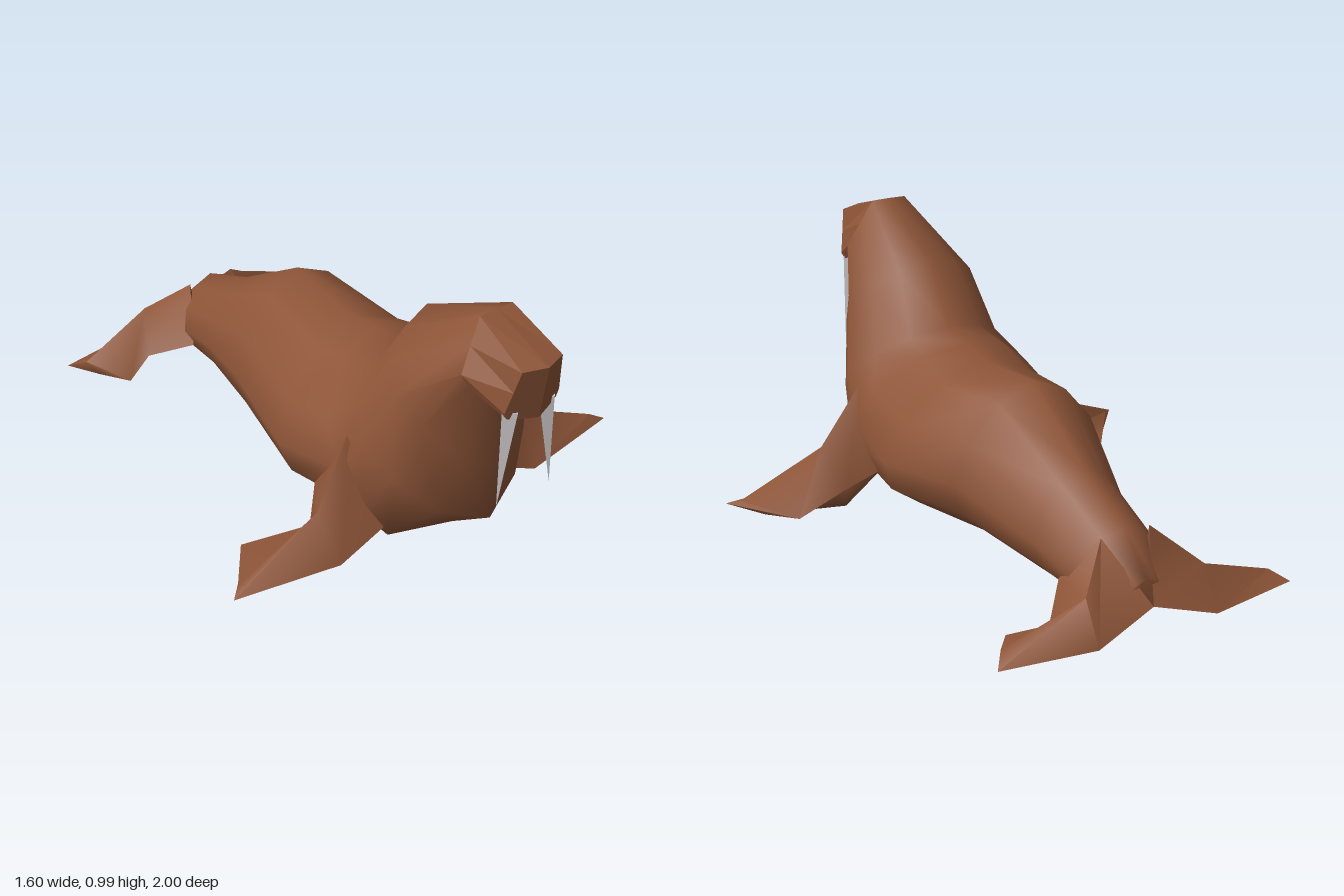
import * as THREE from 'three';
import { toCreasedNormals } from 'three/addons/utils/BufferGeometryUtils.js';

// Skin a list of equal-length rings of [x, y, z], capping both ends
function loft(rings, crease) {
  const n = rings[0].length, last = (rings.length - 1) * n, index = [];
  for (let i = 0; i < rings.length - 1; i++) {
    for (let j = 0; j < n; j++) {
      const a = i * n + j, b = i * n + (j + 1) % n;
      index.push(a, b, a + n, b, b + n, a + n);
    }
  }
  for (let j = 1; j < n - 1; j++) {
    index.push(0, j + 1, j, last, last + j, last + j + 1);
  }
  const geo = new THREE.BufferGeometry();
  geo.setAttribute('position', new THREE.Float32BufferAttribute(rings.flat(2), 3));
  geo.setIndex(index);
  return toCreasedNormals(geo, crease);
}

// Half sections: [fraction of half width, fraction from top to bottom]
const BODY = [[0, 0], [0.45, 0.1], [0.82, 0.31], [1, 0.54], [0.9, 0.73], [0.57, 0.88], [0, 1]];
const CHEST = [[0, 0], [0.46, 0.06], [0.93, 0.3], [1, 0.54], [0.92, 0.75], [0.75, 0.92], [0, 1]];
const NECK = [[0, 0], [0.44, 0.07], [0.8, 0.21], [1, 0.4], [0.88, 0.62], [0.53, 0.86], [0, 1]];
const BROW = [[0, 0], [0.42, 0.01], [0.72, 0.28], [1, 0.55], [0.86, 0.72], [0.46, 0.94], [0, 1]];
const SNOUT = [[0, 0], [0.73, 0.01], [0.86, 0.4], [1, 0.8], [0.9, 0.92], [0.5, 0.97], [0, 1]];

// Symmetric ring slanted between a top and a bottom point
function ring([topY, topZ, lowY, lowZ, width], section, sweep = 0) {
  const half = section.map(([u, t]) => [
    u * width,
    topY + (lowY - topY) * t,
    topZ + (lowZ - topZ) * t - sweep * u,
  ]);
  const other = half.slice(1, -1).reverse().map(([x, y, z]) => [-x, y, z]);
  return [...half, ...other];
}

export function createModel() {
  const model = new THREE.Group();
  model.name = 'walrus';
  const hide = new THREE.MeshStandardMaterial({ color: 0x8e5538 });
  hide.name = 'brown hide';
  const ivory = new THREE.MeshStandardMaterial({ color: 0xc9c3c5 });
  ivory.name = 'grey ivory';

  const add = (name, geo, mat) => {
    const mesh = new THREE.Mesh(geo, mat);
    mesh.name = name;
    model.add(mesh);
    return mesh;
  };

  // Faceted head, from the blunt snout back to the brow
  const brow = ring([0.995, 0.76, 0.7, 0.81, 0.155], BROW);
  add('head', loft([ring([0.91, 1, 0.715, 0.97, 0.11], SNOUT, 0.04), brow], 0.1), hide);

  // Neck, chest and body: top y, z, bottom y, z, half width
  const neck = [
    [0.85, 0.44, 0.45, 0.825, 0.25],
    [0.65, 0.32, 0.21, 0.78, 0.305],
  ];
  const trunk = [
    [0.61, 0.06, 0.005, 0.18, 0.36],
    [0.65, -0.25, 0.055, -0.2, 0.285],
    [0.46, -0.56, 0.05, -0.55, 0.18],
    [0.36, -0.8, 0.07, -0.68, 0.165],
    [0.235, -0.92, 0.12, -0.92, 0.08],
  ];
  add('body', loft([
    brow,
    ...neck.map((s) => ring(s, NECK)),
    ring([0.63, 0.19, 0.08, 0.6, 0.33], CHEST),
    ...trunk.map((s) => ring(s, BODY)),
  ], 1.2), hide);

  // Flipper rings run from root to tip: front, bottom, back, top
  const flippers = {
    frontFlipper: [
      [[0.25, 0.16, 0.56], [0.26, 0.12, 0.44], [0.31, 0.19, 0.26], [0.3, 0.46, 0.42]],
      [[0.42, 0.07, 0.545], [0.39, 0.02, 0.38], [0.4, 0.1, 0.35], [0.445, 0.235, 0.45]],
      [[0.8, 0.085, 0.49], [0.7, 0.065, 0.38], [0.62, 0.075, 0.27], [0.76, 0.1, 0.455]],
    ],
    rearFlipper: [
      [[0.165, 0.17, -0.68], [0.05, 0.09, -0.8], [0, 0.16, -0.965], [0.09, 0.345, -0.8]],
      [[0.28, 0.1, -0.81], [0.25, 0.07, -0.9], [0.22, 0.09, -1], [0.22, 0.23, -0.92]],
      [[0.4, 0.07, -0.75], [0.47, 0.075, -0.85], [0.545, 0.09, -0.95], [0.5, 0.12, -0.89]],
    ],
  };
  for (const [side, sign] of [['left', 1], ['right', -1]]) {
    for (const [name, rings] of Object.entries(flippers)) {
      const sided = rings.map((r) => {
        const points = r.map(([x, y, z]) => [x * sign, y, z]);
        return sign > 0 ? points : points.reverse();
      });
      add(`${side} ${name}`, loft(sided, 1.5), hide);
    }

    // Tapered tusk, leaning slightly outward
    const tuskGeo = new THREE.ConeGeometry(0.034, 0.36, 4).toNonIndexed();
    tuskGeo.computeVertexNormals();
    const tusk = add(`${side} tusk`, tuskGeo, ivory);
    tusk.position.set(sign * 0.092, 0.572, 0.922);
    tusk.rotation.z = Math.PI + sign * 0.1;
  }
  return model;
}
